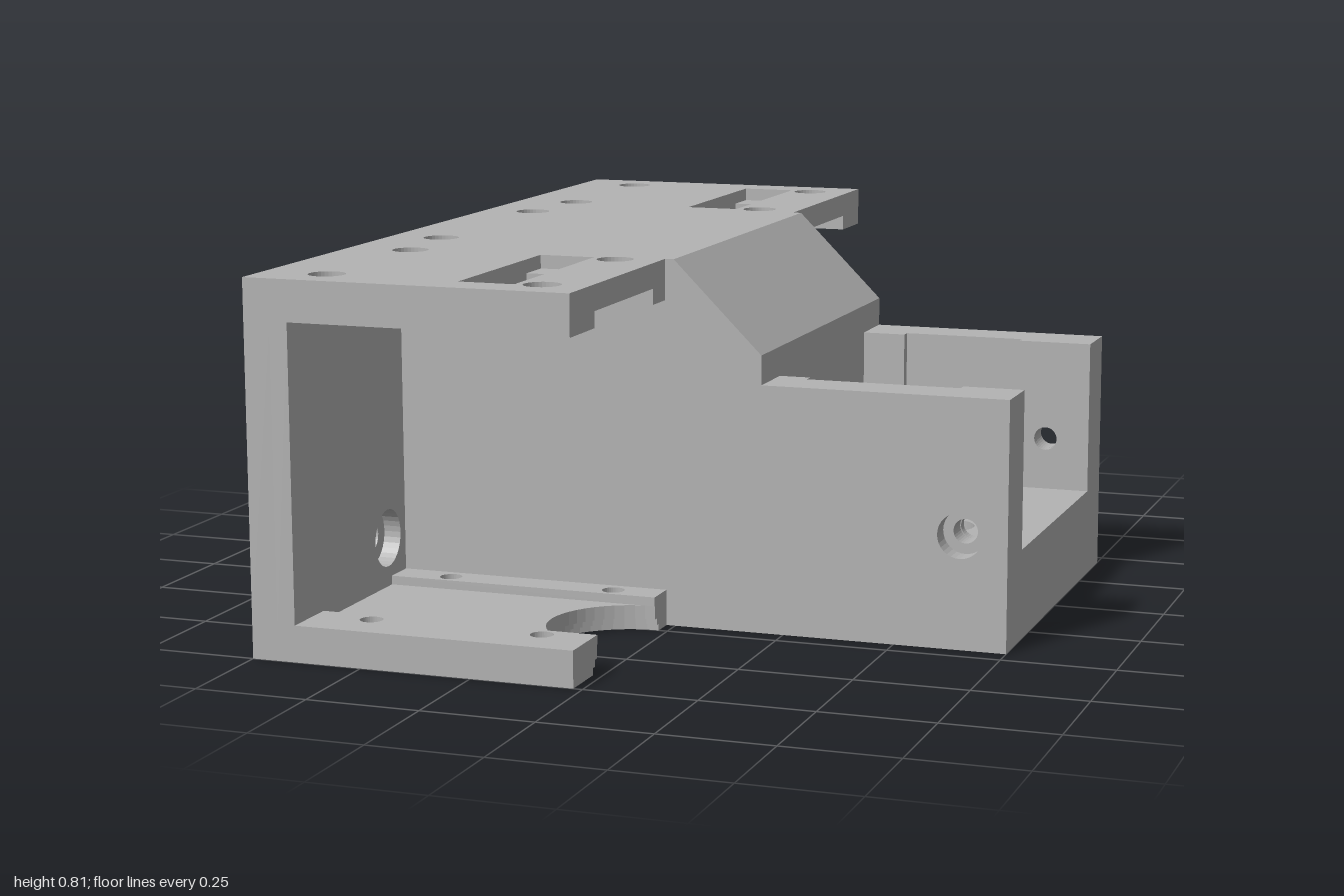
import * as THREE from 'three';

export function createModel() {
  const model = new THREE.Group();
  model.name = 'mountingBracket';
  const grey = new THREE.MeshStandardMaterial({ color: 0xb3b3b3 });
  grey.name = 'grey';

  // hole helpers: circle and rectangle outlines
  const circle = (x, y, r) => new THREE.Path().absarc(x, y, r, 0, Math.PI * 2, true);
  const poly = pts => pts.map(p => new THREE.Vector2(p[0], p[1]));
  const rect = (x0, y0, x1, y1) => [[x0, y0], [x1, y0], [x1, y1], [x0, y1]];
  const rectHole = (...a) => new THREE.Path(poly(rect(...a)));

  // a slab with holes, spanning a..b along the chosen axis
  function slab(name, axis, pts, holes, a, b) {
    const shape = new THREE.Shape(poly(pts));
    shape.holes = holes;
    const g = new THREE.ExtrudeGeometry(shape, { depth: b - a, bevelEnabled: false, curveSegments: 16 });
    g.translate(0, 0, a);
    if (axis === 'y') g.rotateX(-Math.PI / 2); // outline is x, -z
    if (axis === 'x') g.rotateY(Math.PI / 2); // outline is -z, y
    const mesh = new THREE.Mesh(g, grey);
    mesh.name = name;
    model.add(mesh);
  }

  const X0 = -0.75, WALL = -0.65, EDGE = -0.02, H = 0.815;
  const mirror = half => [...half, ...half.map(p => [p[0], -p[1]]).reverse()];
  const channel = x => [[EDGE, 0.525], [x, 0.525], [x, 0.865], [EDGE, 0.865]];
  const scoop = r => Array.from({ length: 25 }, (_, i) => {
    const t = Math.PI * i / 24;
    return [EDGE - r * Math.sin(t), 0.695 - r * Math.cos(t)];
  });
  const screws = (xs, r) => xs.flatMap(x => [-0.9, -0.49, 0.49, 0.9].map(z => circle(x, z, r)));
  const both = f => [f(1), f(-1)];

  // top plate: underside channels, stepped slots, counterbored screw holes
  const topPlate = (notch, holes, a, b) =>
    slab('topPlate', 'y', mirror([...notch, [EDGE, 1], [X0, 1]]),
      [...holes, ...both(s => circle(-0.63, s * 0.27, 0.04))], a, b);
  const slots = (z0, z1) => both(s => rectHole(-0.3, s * z0, -0.175, s * z1));
  const topX = [-0.605, -0.12];
  topPlate(channel(-0.5), screws(topX, 0.025), 0.725, 0.76);
  topPlate([], [...screws(topX, 0.025), ...slots(0.555, 0.83)], 0.76, 0.785);
  topPlate([], [...screws(topX, 0.04), ...slots(0.475, 0.915)], 0.785, H);

  // base plate: T outline with flared round scoops, channels and a shallow pocket
  const basePlate = (notch, r, pocket, a, b) => {
    const holes = [...screws([-0.52, -0.13], r), ...both(s => circle(0.53, s * 0.14, 0.033))];
    if (pocket) holes.push(rectHole(-0.15, -0.2, 0.46, 0.2));
    slab('basePlate', 'y', mirror([[0.75, 0.45], [EDGE, 0.45], ...notch, [EDGE, 1], [X0, 1]]), holes, a, b);
  };
  basePlate(scoop(0.195), 0.035, true, 0, 0.015);
  basePlate(scoop(0.185), 0.035, true, 0.015, 0.03);
  basePlate(scoop(0.172), 0.025, true, 0.03, 0.06);
  basePlate(channel(WALL), 0.025, false, 0.06, 0.08);

  // back wall with stepped holes
  const backWall = (r, a, b) => slab('backWall', 'x', rect(-1, 0.08, 1, 0.725),
    [...both(s => circle(s * 0.54, 0.17, r)), ...both(s => circle(s * 0.195, 0.31, 0.037))], a, b);
  backWall(0.033, X0, -0.69);
  backWall(0.065, -0.69, WALL);

  // solid core with sloped front
  slab('core', 'z', [[WALL, 0.08], [0.2, 0.08], [0.2, 0.615], [0, H], [EDGE, H], [EDGE, 0.725], [WALL, 0.725]],
    [], -0.45, 0.45);

  // tray floor with counterbored holes
  const trayFloor = (r, a, b) => slab('trayFloor', 'y', rect(0.2, -0.345, 0.75, 0.345),
    both(s => circle(0.53, s * 0.14, r)), a, b);
  trayFloor(0.033, 0.08, 0.15);
  trayFloor(0.065, 0.15, 0.2);

  // tray side walls: counterbored outside, recessed inside
  for (const [s, y, n0, n1] of [[1, 0.25, 0.27, 0.615], [-1, 0.32, 0.3, 0.58]]) {
    const trayWall = (x0, y0, x1, holeXs, r, z0, z1) =>
      slab('trayWall', 'z', rect(x0, y0, x1, 0.55), holeXs.map(x => circle(x, y, r)),
        Math.min(s * z0, s * z1), Math.max(s * z0, s * z1));
    trayWall(0.2, 0.08, 0.75, [0.24, 0.645], 0.05, 0.4, 0.45);
    trayWall(0.2, 0.08, 0.75, [0.24, 0.645], 0.027, 0.345, 0.4);
    trayWall(0.2, 0.2, n0, [0.237], 0.027, 0.322, 0.345);
    trayWall(n1, 0.2, 0.75, [0.647], 0.027, 0.322, 0.345);
  }
  return model;
}
